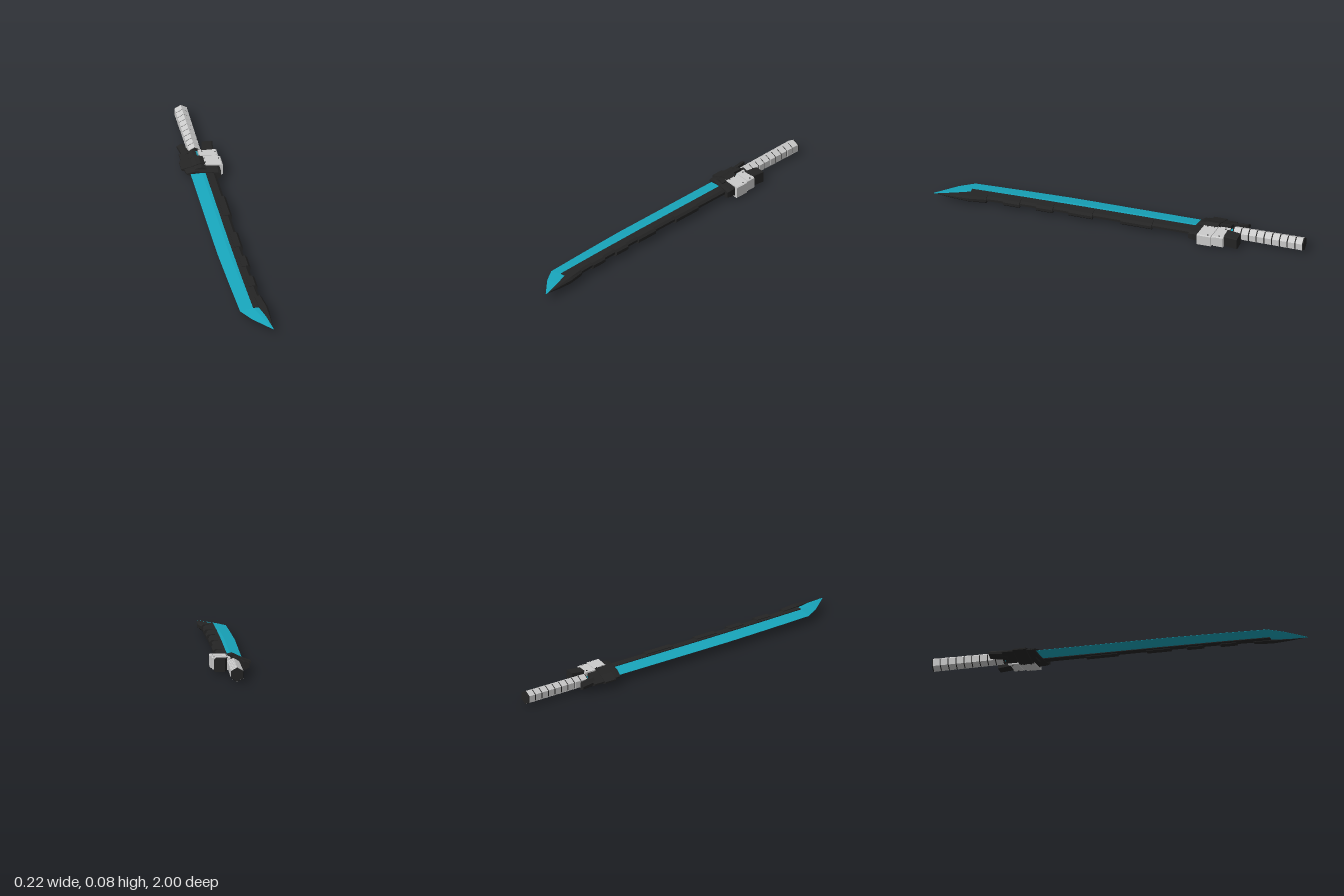
import * as THREE from 'three';

const MID = 0.042; // height of the sword's mid plane
const mat = (color) => new THREE.MeshStandardMaterial({ color, flatShading: true });

// Loft mirrored about the mid plane: stations are [z, [[x, halfHeight], ...]],
// x ascending; shear slides each point along z by shear * x.
function loft(stations, shear = 0) {
  const pos = [];
  const rings = stations.map(([z, half]) => {
    const at = (s) => ([x, h]) => [x, MID + s * h, z + shear * x];
    return [...half.map(at(-1)), ...half.map(at(1)).reverse()];
  });
  const tri = (a, b, c) => pos.push(...a, ...b, ...c);
  const n = rings[0].length;
  for (let r = 0; r < rings.length - 1; r++) {
    const a = rings[r], b = rings[r + 1];
    for (let i = 0; i < n; i++) {
      const j = (i + 1) % n;
      tri(a[i], a[j], b[j]);
      tri(a[i], b[j], b[i]);
    }
  }
  const first = rings[0], last = rings[rings.length - 1];
  for (let i = 1; i < n - 1; i++) {
    tri(first[0], first[i + 1], first[i]);
    tri(last[0], last[i], last[i + 1]);
  }
  const g = new THREE.BufferGeometry();
  g.setAttribute('position', new THREE.Float32BufferAttribute(pos, 3));
  g.computeVertexNormals();
  return g;
}

export function createModel() {
  const model = new THREE.Group();
  model.name = 'sword';
  const teal = mat(0x18a5bb), black = mat(0x242424), grey = mat(0xcccccc);
  const add = (name, geometry, material) => {
    const mesh = new THREE.Mesh(geometry, material);
    mesh.name = name;
    model.add(mesh);
    return mesh;
  };
  const prism = (name, z0, z1, half, material, shear) =>
    add(name, loft([[z0, half], [z1, half]], shear), material);

  // Blade: sharp on the left, thick beside the spine
  const bladeAt = (z, edge, back, h) => [z, [[edge, 0.0005], [edge + (back - edge) * 0.6, h], [back, h]]];
  add('blade', loft([
    bladeAt(-0.5, -0.068, 0.03, 0.012), bladeAt(0.28, -0.068, 0.03, 0.012),
    bladeAt(0.55, -0.06, 0.04, 0.012), bladeAt(0.81, -0.05, 0.07, 0.012),
    bladeAt(0.89, -0.003, 0.085, 0.009), bladeAt(1, 0.09, 0.092, 0.0005),
  ]), teal);

  // Spine with bevelled back
  const spineAt = (z, x0, x1, h) => [z, [[x0, h], [x1 - (x1 - x0) * 0.25, h], [x1, h * 0.4]]];
  add('spine', loft([
    spineAt(-0.45, 0.008, 0.062, 0.016), spineAt(0.2, 0.01, 0.062, 0.016),
    spineAt(0.55, 0.014, 0.068, 0.016), spineAt(0.81, 0.02, 0.08, 0.016),
  ]), black);
  add('spineTip', loft([
    spineAt(0.715, 0.045, 0.084, 0.019), spineAt(0.81, 0.05, 0.1, 0.019),
    spineAt(0.9, 0.075, 0.097, 0.011), spineAt(0.98, 0.089, 0.092, 0.002),
  ]), black);

  // Raised plates along the spine
  [[-0.185, -0.016, 0.072], [0.14, 0.27, 0.073], [0.355, 0.445, 0.078], [0.535, 0.625, 0.081]]
    .forEach(([z0, z1, x1]) => add('spinePlate',
      loft([spineAt(z0, x1 - 0.046, x1, 0.019), spineAt(z1, x1 - 0.046, x1, 0.019)]), black));

  // Slanted collar where the blade enters the guard
  add('collar', loft([
    [-0.5, [[-0.092, 0.004], [-0.045, 0.022], [0.075, 0.027], [0.09, 0.02]]],
    [-0.435, [[-0.092, 0.004], [-0.045, 0.022], [0.075, 0.025], [0.09, 0.018]]],
    [-0.413, [[-0.088, 0.003], [-0.045, 0.019], [0.072, 0.02], [0.086, 0.014]]],
  ], 0.27), black);

  // Left half of the guard: stepped wedges
  const wedge = (x, h) => [[x, 0.004], [-0.05, 0.022 * h], [-0.03, 0.033 * h], [-0.008, 0.042 * h], [0.016, 0.034 * h]];
  prism('guardWedge', -0.533, -0.462, wedge(-0.108, 1), black, 0.16);
  prism('guardWedgeFront', -0.465, -0.43, wedge(-0.092, 0.86), black, 0.27);
  prism('guardWedgeRear', -0.595, -0.53, [[-0.096, 0.004], [-0.05, 0.021], [-0.03, 0.031], [-0.012, 0.033]], black, 0.17);
  add('leftProng', loft([
    [-0.67, [[-0.093, 0.006], [-0.072, 0.02], [-0.062, 0.021]]],
    [-0.58, [[-0.078, 0.008], [-0.055, 0.024], [-0.04, 0.026]]],
  ], 0.13), black);

  // Right half of the guard: two armour blocks, joining block and prong
  const block = (x0, x1, h) => [[x0, h], [x1 - 0.006, h], [x1, h - 0.004]];
  prism('guardCore', -0.59, -0.46, block(0.01, 0.09, 0.027), black, 0.18);
  prism('rearArmour', -0.6, -0.549, block(0.003, 0.1, 0.032), grey, 0.18);
  prism('frontArmour', -0.537, -0.461, block(0.006, 0.108, 0.033), grey, 0.18);
  prism('armourStrip', -0.549, -0.537, block(0.006, 0.099, 0.029), grey, 0.18);
  add('rightProng', loft([
    [-0.665, block(0.036, 0.094, 0.033)],
    [-0.59, block(0.02, 0.083, 0.032)],
  ], 0.08), black);

  // Rivets on both faces of the armour
  for (const side of [-1, 1]) {
    for (const [x, z] of [[0.02, -0.515], [0.02, -0.478], [0.095, -0.5], [0.02, -0.578], [0.088, -0.56]]) {
      add('rivet', new THREE.CylinderGeometry(0.004, 0.004, 0.002, 6), black)
        .position.set(x, MID + side * 0.033, z);
    }
  }

  // Glowing coupling between guard and grip
  const rod = (name, z0, z1, r0, r1, material, sides = 6) => {
    const g = new THREE.CylinderGeometry(r1, r0, z1 - z0, sides).rotateX(Math.PI / 2);
    add(name, g, material).position.set(-0.01, MID, (z0 + z1) / 2);
  };
  rod('coupling', -0.63, -0.52, 0.012, 0.012, grey);
  for (const z of [-0.605, -0.585, -0.565]) rod('couplingRing', z - 0.006, z + 0.006, 0.018, 0.018, teal);

  // Hexagonal grip: dark core with nine flared rings and a pommel cap
  rod('gripCore', -0.99, -0.612, 0.035, 0.032, black);
  const count = 9, step = 0.382 / count;
  for (let i = 0; i < count; i++) {
    const z = -0.994 + i * step, r = 0.0385 - i * 0.0003;
    rod('gripRing', z, z + step - 0.006, r, r - 0.0012, grey);
  }
  rod('pommelCap', -1, -0.994, 0.036, 0.038, black);

  return model;
}
